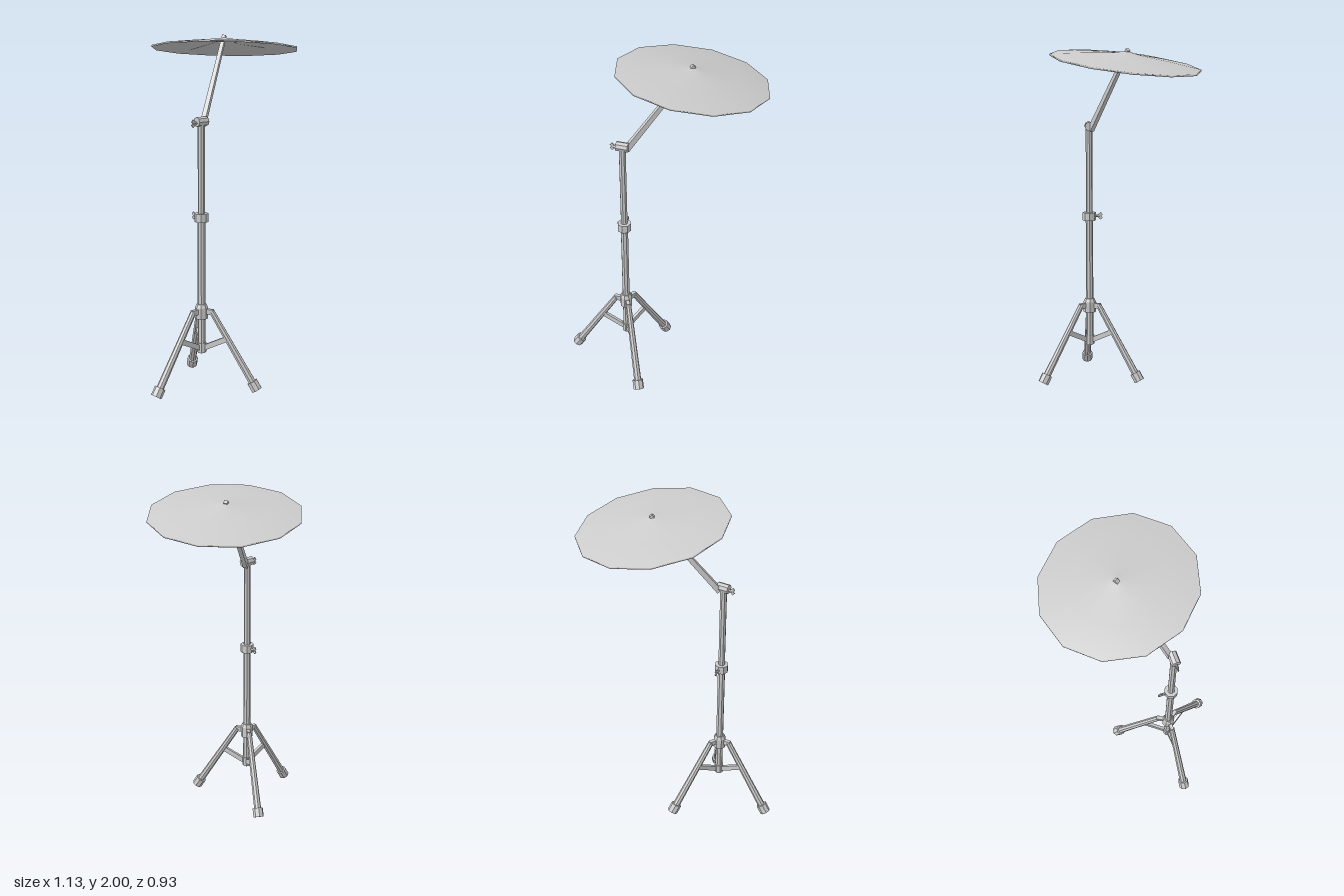
import * as THREE from 'three';

const V = (x, y, z) => new THREE.Vector3(x, y, z);
const UP = V(0, 1, 0);
const flat = new THREE.MeshStandardMaterial({ color: 0xcccccc, flatShading: true });
const smooth = new THREE.MeshStandardMaterial({ color: 0xcccccc, side: THREE.DoubleSide });

function add(parent, name, geometry, material = flat) {
  const mesh = new THREE.Mesh(geometry, material);
  mesh.name = name;
  parent.add(mesh);
  return mesh;
}

// Round bar from a to b
function rod(parent, name, a, b, rA, rB = rA, sides = 8) {
  const mesh = add(parent, name, new THREE.CylinderGeometry(rB, rA, a.distanceTo(b), sides));
  mesh.position.lerpVectors(a, b, 0.5);
  mesh.quaternion.setFromUnitVectors(UP, b.clone().sub(a).normalize());
  return mesh;
}

// Rectangular bar from a to b, depth measured in the vertical plane of the bar
function bar(parent, name, a, b, width, depth) {
  const mesh = add(parent, name, new THREE.BoxGeometry(width, depth, a.distanceTo(b)));
  mesh.position.lerpVectors(a, b, 0.5);
  mesh.lookAt(b);
  return mesh;
}

// Wing screw pointing along local +x
function wingScrew(parent, name, position, turn) {
  const screw = new THREE.Group();
  screw.name = name;
  rod(screw, 'screwShaft', V(-0.02, 0, 0), V(0.018, 0, 0), 0.008, 0.008, 6);
  for (const side of [-1, 1]) {
    const wing = add(screw, 'screwWing', new THREE.BoxGeometry(0.024, 0.018, 0.006));
    wing.position.set(0.02, side * 0.008, 0);
    wing.rotation.z = side * 0.7;
  }
  screw.position.copy(position);
  screw.rotation.y = turn;
  parent.add(screw);
}

function createLeg(angle) {
  const leg = new THREE.Group();
  leg.name = 'leg';
  const top = V(0.062, 0.455, 0), end = V(0.325, 0.03, 0);
  const dir = end.clone().sub(top).normalize();
  bar(leg, 'legBracket', V(0.02, 0.452, 0), V(0.072, 0.452, 0), 0.022, 0.03);
  rod(leg, 'legTube', top, end, 0.017, 0.022);
  // Rubber foot
  const tip = V(0.334, 0.017, 0);
  rod(leg, 'foot', tip.clone().addScaledVector(dir, -0.055), tip, 0.032, 0.032);
  bar(leg, 'strut', V(0.015, 0.235, 0), V(0.15, 0.3, 0), 0.018, 0.03);
  leg.rotation.y = angle;
  return leg;
}

export function createModel() {
  const model = new THREE.Group();
  model.name = 'cymbalStand';

  // Stand: telescopic pole with collars and tripod
  const stand = new THREE.Group();
  stand.name = 'stand';
  stand.position.set(-0.21, 0, 0.16);
  model.add(stand);
  rod(stand, 'lowerPole', V(0, 0.205, 0), V(0, 1, 0), 0.022);
  rod(stand, 'upperPole', V(0, 1, 0), V(0, 1.535, 0), 0.02);
  rod(stand, 'strutCollar', V(0, 0.21, 0), V(0, 0.265, 0), 0.028);
  rod(stand, 'tripodHub', V(0, 0.41, 0), V(0, 0.475, 0), 0.037);
  rod(stand, 'tripodHubCap', V(0, 0.475, 0), V(0, 0.495, 0), 0.037, 0.028);
  rod(stand, 'heightCollar', V(0, 0.975, 0), V(0, 1.023, 0), 0.04);
  wingScrew(stand, 'heightScrew', V(0, 1, -0.045), Math.PI / 2);
  for (let i = 0; i < 3; i++) stand.add(createLeg(Math.PI + i * Math.PI * 2 / 3));

  // Tilting joint
  rod(stand, 'tiltJoint', V(-0.034, 1.54, 0), V(0.036, 1.54, 0), 0.027);
  wingScrew(stand, 'tiltScrew', V(-0.036, 1.533, 0), Math.PI);

  // Boom arm, narrowing towards its tip
  const arm = bar(model, 'boomArm', V(-0.19, 1.52, 0.15), V(0.137, 1.99, -0.042), 0.027, 0.032);
  const p = arm.geometry.attributes.position;
  for (let i = 0; i < p.count; i++) {
    if (p.getZ(i) > 0) p.setXY(i, p.getX(i) * 0.8, p.getY(i) * 0.65);
  }

  // Thin twelve-sided cymbal with a shallow cone and small raised centre
  const profile = [[0, 0.044], [0.03, 0.042], [0.08, 0.03], [0.428, -0.006], [0.428, 0.004],
    [0.25, 0.028], [0.08, 0.046], [0.03, 0.057], [0, 0.06]];
  const cymbal = add(model, 'cymbal',
    new THREE.LatheGeometry(profile.map(([r, y]) => new THREE.Vector2(r, y)), 12), smooth);
  cymbal.position.set(0.132, 1.92, -0.03);
  cymbal.quaternion.setFromUnitVectors(UP, V(0.115, 1, -0.107).normalize());
  return model;
}
